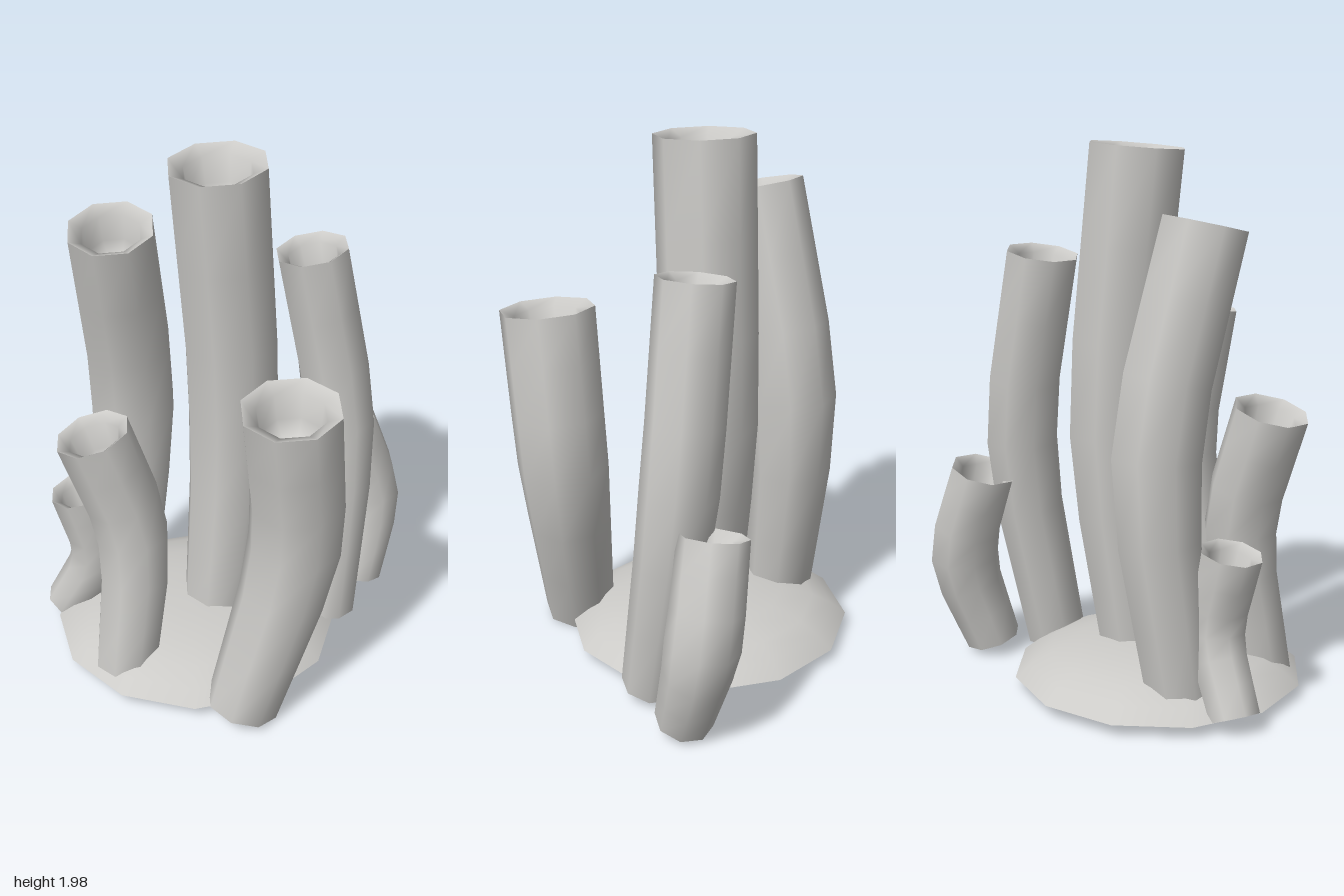
import * as THREE from 'three';
import { mergeGeometries } from 'three/addons/utils/BufferGeometryUtils.js';

const UP = new THREE.Vector3(0, 1, 0);
const SIDES = 8;

// Skin a list of rings {c, q, r}: centre, orientation, radius
function skin(rings) {
  const pos = [], idx = [], v = new THREE.Vector3();
  for (const { c, q, r } of rings) {
    for (let j = 0; j < SIDES; j++) {
      const a = (j / SIDES) * Math.PI * 2 + 0.2;
      v.set(Math.cos(a) * r, 0, Math.sin(a) * r).applyQuaternion(q).add(c);
      pos.push(v.x, Math.max(0, v.y), v.z);
    }
  }
  for (let i = 0; i < rings.length - 1; i++) {
    for (let j = 0; j < SIDES; j++) {
      const a = i * SIDES + j, b = i * SIDES + ((j + 1) % SIDES);
      idx.push(a, a + SIDES, b, b, a + SIDES, b + SIDES);
    }
  }
  const g = new THREE.BufferGeometry();
  g.setAttribute('position', new THREE.Float32BufferAttribute(pos, 3));
  g.setIndex(idx);
  g.computeVertexNormals();
  return g;
}

// Bent hollow tube through three points, with a radius at each
function tubeGeometry(points, radii) {
  const curve = new THREE.CatmullRomCurve3(points.map(p => new THREE.Vector3(...p)));
  const steps = 6, wall = [];
  for (let i = 0; i <= steps; i++) {
    const t = i / steps;
    const q = new THREE.Quaternion().setFromUnitVectors(UP, curve.getTangent(t));
    const r = t < 0.5
      ? THREE.MathUtils.lerp(radii[0], radii[1], t * 2)
      : THREE.MathUtils.lerp(radii[1], radii[2], t * 2 - 1);
    wall.push({ c: curve.getPoint(t), q, r });
  }
  const foot = wall[0], top = wall[steps];
  // Ring shifted along the axis of the mouth
  const mouth = (k, d) => ({
    c: new THREE.Vector3(0, -d, 0).applyQuaternion(top.q).add(top.c), q: top.q, r: top.r * k,
  });
  return mergeGeometries([
    skin([{ ...foot, r: 0.001 }, foot]),
    skin(wall),
    skin([mouth(1, 0), mouth(0.7, 0.025), mouth(0.62, 0.12), mouth(0.4, 0.17), mouth(0.005, 0.18)]),
  ]);
}

export function createModel() {
  const group = new THREE.Group();
  const stone = new THREE.MeshStandardMaterial({ color: 0xcccbc8 });
  stone.name = 'pale grey';

  const add = (name, geometry) => {
    const mesh = new THREE.Mesh(geometry, stone);
    mesh.name = name;
    group.add(mesh);
    return mesh;
  };

  // Tubes: foot, bend and mouth positions, then their radii
  const tubes = [
    ['centreTube', [[0, 0.06, -0.03], [0.05, 0.95, -0.1], [0, 1.98, -0.035]], [0.135, 0.175, 0.178]],
    ['backRightTube', [[-0.39, 0.05, -0.1], [-0.345, 0.95, -0.185], [-0.365, 1.735, -0.005]], [0.13, 0.165, 0.157]],
    ['frontRightTube', [[-0.3, 0.07, 0.31], [-0.275, 0.62, 0.23], [-0.4, 1.07, 0.265]], [0.12, 0.137, 0.138]],
    ['shortRightTube', [[-0.6, 0.06, -0.03], [-0.475, 0.33, -0.02], [-0.53, 0.63, 0]], [0.095, 0.105, 0.112]],
    ['frontLeftTube', [[0.165, 0.05, 0.46], [0.33, 0.75, 0.365], [0.31, 1.34, 0.435]], [0.135, 0.17, 0.175]],
    ['backLeftTube', [[0.425, 0.06, -0.14], [0.435, 0.87, -0.275], [0.31, 1.59, -0.245]], [0.115, 0.138, 0.135]],
    ['shortLeftTube', [[0.53, 0.06, -0.37], [0.555, 0.41, -0.472], [0.45, 0.77, -0.435]], [0.105, 0.132, 0.124]],
  ];
  for (const [name, points, radii] of tubes) add(name, tubeGeometry(points, radii));

  // Low dome, slightly off centre, that the tubes grow from
  const dome = [[0.53, 0.06], [0.475, 0.105], [0.4, 0.145], [0.28, 0.178], [0.13, 0.193], [0, 0.195]];
  const lathe = pts => new THREE.LatheGeometry(pts.map(p => new THREE.Vector2(...p)), 12, 0.14);
  const base = add('baseDome', mergeGeometries([lathe(dome), lathe([[0, 0.075], [0.53, 0.06]])]));
  base.position.x = -0.08;
  base.scale.x = 1.03;

  return group;
}
